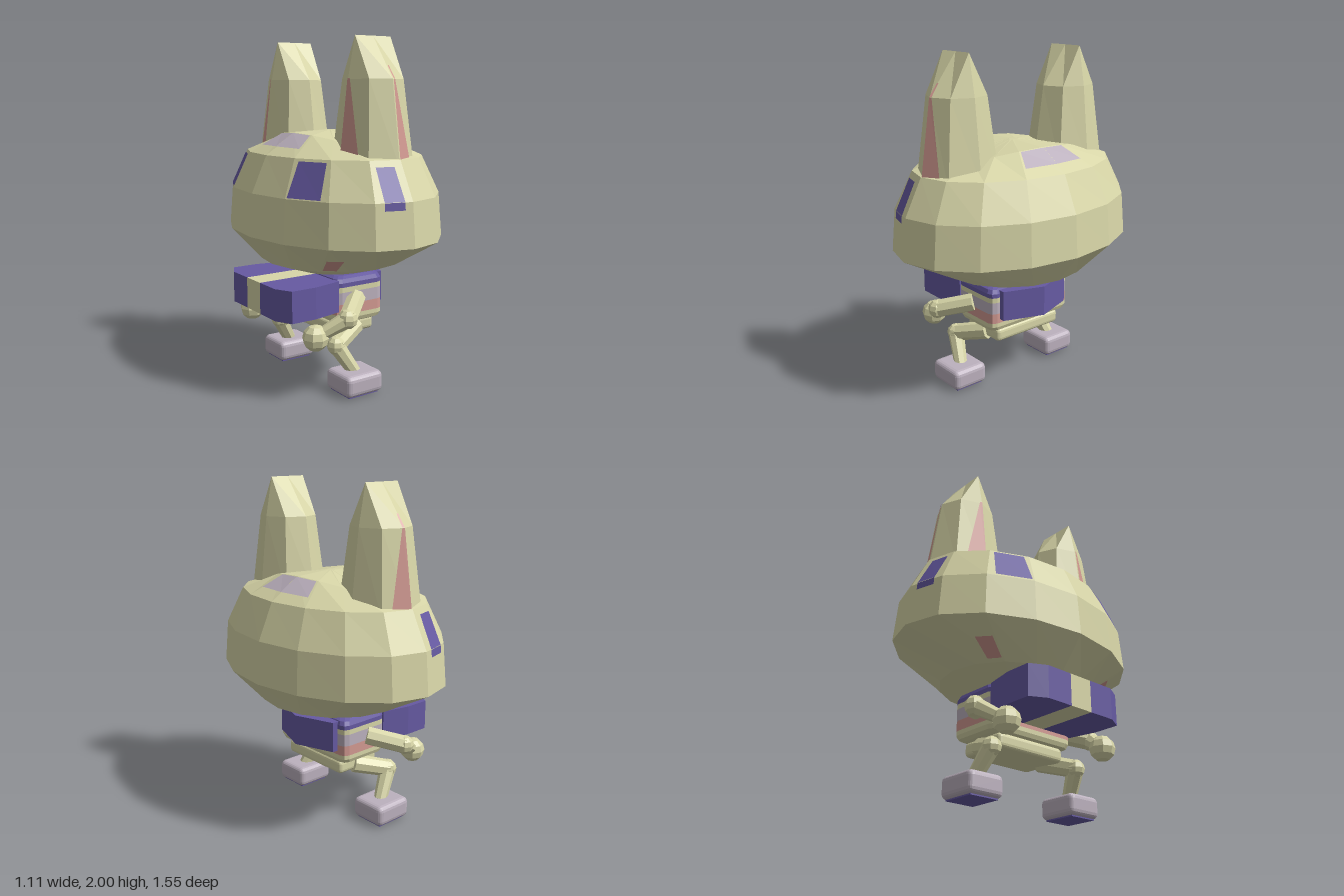
import * as THREE from 'three';
import { RoundedBoxGeometry } from 'three/addons/geometries/RoundedBoxGeometry.js';

const paint = (name, color) => {
  const m = new THREE.MeshStandardMaterial({ color });
  m.name = name;
  return m;
};
const V = (x, y, z) => new THREE.Vector3(x, y, z);

export function createModel() {
  const root = new THREE.Group();
  root.name = 'bigHeadedCat';
  const cream = paint('cream', 0xd8d6a8);
  const blue = paint('violetBlue', 0x665aa2);
  const mauve = paint('paleMauve', 0xbcb1be);
  const pink = paint('dustyPink', 0xd39a92);

  // Adds a faceted mesh
  const add = (name, geo, mat) => {
    const g = geo.index ? geo.toNonIndexed() : geo;
    g.computeVertexNormals();
    const mesh = new THREE.Mesh(g, mat);
    mesh.name = name;
    root.add(mesh);
    return mesh;
  };
  const fromTriangles = (pts) => new THREE.BufferGeometry().setFromPoints(pts);

  // Closed solid through rings listed from bottom to top
  const loft = (rings) => {
    const t = [], n = rings[0].length;
    for (let v = 0; v < rings.length - 1; v++)
      for (let i = 0; i < n; i++) {
        const j = (i + 1) % n, a = rings[v][i], b = rings[v][j], c = rings[v + 1][j], d = rings[v + 1][i];
        t.push(a, d, c, a, c, b);
      }
    const cap = (ring, up) => {
      const mid = ring.reduce((s, p) => s.add(p), V(0, 0, 0)).divideScalar(n);
      ring.forEach((p, i) => {
        const q = ring[(i + 1) % n];
        t.push(mid, ...(up ? [q, p] : [p, q]));
      });
    };
    cap(rings[0], false);
    cap(rings[rings.length - 1], true);
    return fromTriangles(t);
  };

  // Point on a loft at fractional side i and fractional ring v
  const on = (rings, i, v) => {
    const n = rings[0].length, i0 = Math.floor(i), v0 = Math.min(Math.floor(v), rings.length - 2);
    const at = (r) => rings[r][((i0 % n) + n) % n].clone().lerp(rings[r][(((i0 + 1) % n) + n) % n], i - i0);
    return at(v0).lerp(at(v0 + 1), v - v0);
  };

  // Thin painted plate: each row is [ring, firstSide, lastSide]
  const plate = (name, rings, rows, mat, columns = 1) => {
    const t = [];
    for (let r = 0; r < rows.length - 1; r++)
      for (let k = 0; k < columns; k++) {
        const p = (row, f) => on(rings, row[1] + (row[2] - row[1]) * f, row[0]);
        const f0 = k / columns, f1 = (k + 1) / columns;
        const a = p(rows[r], f0), b = p(rows[r], f1), c = p(rows[r + 1], f1), d = p(rows[r + 1], f0);
        const out = c.clone().sub(a).cross(b.clone().sub(a)).normalize().multiplyScalar(0.006);
        [a, b, c, d].forEach((q) => q.add(out));
        t.push(a, d, c, a, c, b);
      }
    add(name, fromTriangles(t), mat);
  };
  const flip = (rows) => rows.map(([v, a, b]) => [v, -b, -a]);

  // Head: sixteen-sided, wider than deep, with a shallow crown
  const headRings = [
    [0.65, 0.2, 0.22, 0], [0.72, 0.41, 0.45, 0], [0.895, 0.553, 0.775, 0], [1.14, 0.535, 0.752, 0],
    [1.35, 0.44, 0.645, 0], [1.47, 0.25, 0.4, 0.06], [1.482, 0.02, 0.03, 0],
  ].map(([y, rx, rz, dip]) => Array.from({ length: 16 }, (_, i) => {
    const a = i * Math.PI / 8, s = Math.sin(a);
    return V(rx * Math.cos(a), y - dip * s * s, rz * s);
  }));
  add('head', loft(headRings), cream);

  // Painted markings on the head
  const markings = [
    ['sideMarking', [[2.83, 4.22, 4.76], [3, 4.22, 4.76], [3.83, 4.27, 4.85]], blue],
    ['browMarking', [[3.02, 6.18, 6.95], [3.92, 6.1, 6.85]], blue],
    ['cheek', [[1.1, 5.5, 5.95], [1.55, 5.5, 5.95]], pink],
  ];
  for (const [name, rows, mat] of markings) {
    plate(name, headRings, rows, mat);
    plate(name, headRings, flip(rows), mat);
  }
  for (const i of [0, 8])
    plate('crownMarking', headRings, [[4.35, i - 0.95, i + 0.95], [4.95, i - 0.95, i + 0.95]], mauve, 2);

  for (const side of [1, -1]) {
    // Ear: octagonal, pinched to a ridge at the top
    const earRings = [[1.3, 0.218, 0.243, 0], [1.77, 0.165, 0.172, 0], [2, 0.12, 0, 1]]
      .map(([y, rx, rz, ridge]) => Array.from({ length: 8 }, (_, i) => {
        const c = Math.cos(i * Math.PI / 4), s = Math.sin(i * Math.PI / 4);
        const x = ridge ? (Math.abs(c) < 0.1 ? 0 : Math.sign(c)) : c;
        return V(rx * x, y, side * 0.4 + rz * s);
      }));
    add('ear', loft(earRings), cream);
    for (const i of [2, 4]) {
      const rows = [[0.1, i - 0.67, i], [1, i - 0.12, i], [i === 2 ? 1.3 : 1.02, i - 0.08, i]];
      plate('innerEar', earRings, side > 0 ? rows : flip(rows), pink);
    }

    // Limbs
    const limb = (name, a, b, ra, rb) => {
      const dir = b.clone().sub(a);
      const geo = new THREE.CylinderGeometry(rb, ra, dir.length(), 8);
      const m = add(name, geo, cream);
      m.quaternion.setFromUnitVectors(V(0, 1, 0), dir.clone().normalize());
      m.position.copy(a).add(b).multiplyScalar(0.5);
    };
    const ball = (name, p, r) => add(name, new THREE.SphereGeometry(r, 8, 6), cream).position.copy(p);
    const shoulder = V(-0.02, 0.525, side * 0.29), elbow = V(-0.19, 0.465, side * 0.44), hand = V(-0.35, 0.365, side * 0.36);
    limb('upperArm', shoulder, elbow, 0.055, 0.055);
    ball('elbow', elbow, 0.057);
    limb('forearm', elbow, hand, 0.05, 0.033);
    ball('hand', hand, 0.075);
    const hip = V(0.02, 0.335, side * 0.22), knee = V(-0.18, 0.275, side * 0.315), ankle = V(-0.08, 0.11, side * 0.355);
    limb('thigh', hip, knee, 0.055, 0.052);
    ball('knee', knee, 0.055);
    limb('shin', knee, ankle, 0.05, 0.04);

    // Shoe with a thin sole
    add('shoe', new RoundedBoxGeometry(0.25, 0.124, 0.23, 2, 0.032), mauve).position.set(-0.083, 0.068, side * 0.36);
    add('sole', new THREE.BoxGeometry(0.2, 0.009, 0.18), blue).position.set(-0.083, 0.0045, side * 0.36);
  }

  // Torso: striped bands of a rounded block
  const block = (y, inset) => {
    const hx = 0.167 - inset, hz = 0.3 - inset, r = 0.04, ring = [];
    [[1, 1], [-1, 1], [-1, -1], [1, -1]].forEach(([sx, sz], q) => {
      for (let k = 0; k < 3; k++) {
        const a = (q + k / 2) * Math.PI / 2;
        ring.push(V(sx * (hx - r) + r * Math.cos(a), y, sz * (hz - r) + r * Math.sin(a)));
      }
    });
    return ring;
  };
  const bands = [
    ['shirtHem', cream, [[0.38, 0.035], [0.392, 0.01], [0.415, 0], [0.44, 0]]],
    ['lowerStripe', pink, [[0.44, 0], [0.5, 0]]],
    ['middleStripe', mauve, [[0.5, 0], [0.57, 0]]],
    ['upperStripe', cream, [[0.57, 0], [0.6, 0]]],
    ['collar', blue, [[0.6, 0], [0.625, 0], [0.648, 0.01], [0.66, 0.035]]],
  ];
  for (const [name, mat, rows] of bands) add(name, loft(rows.map(([y, d]) => block(y, d))), mat);
  add('hips', new RoundedBoxGeometry(0.3, 0.085, 0.48, 2, 0.025), cream).position.set(-0.005, 0.342, 0);

  // Chest case and back flap: upright prisms from plan outlines
  const prism = (name, plan, mat) =>
    add(name, loft([0.462, 0.643].map((y) => plan.map(([x, z]) => V(x, y, z)))), mat);
  const half = [[-0.15, 0.075], [-0.15, 0.3], [-0.33, 0.338], [-0.485, 0.338], [-0.535, 0.24], [-0.535, 0.075]];
  prism('chestCaseSide', half, blue);
  prism('chestCaseSide', half.map(([x, z]) => [x, -z]).reverse(), blue);
  prism('chestCaseStrap', [[-0.15, -0.075], [-0.15, 0.075], [-0.535, 0.075], [-0.535, -0.075]], cream);
  prism('backFlap', [[0.285, 0], [0.2, 0.24], [0.15, 0.24], [0.15, -0.24], [0.2, -0.24]], blue);

  return root;
}
